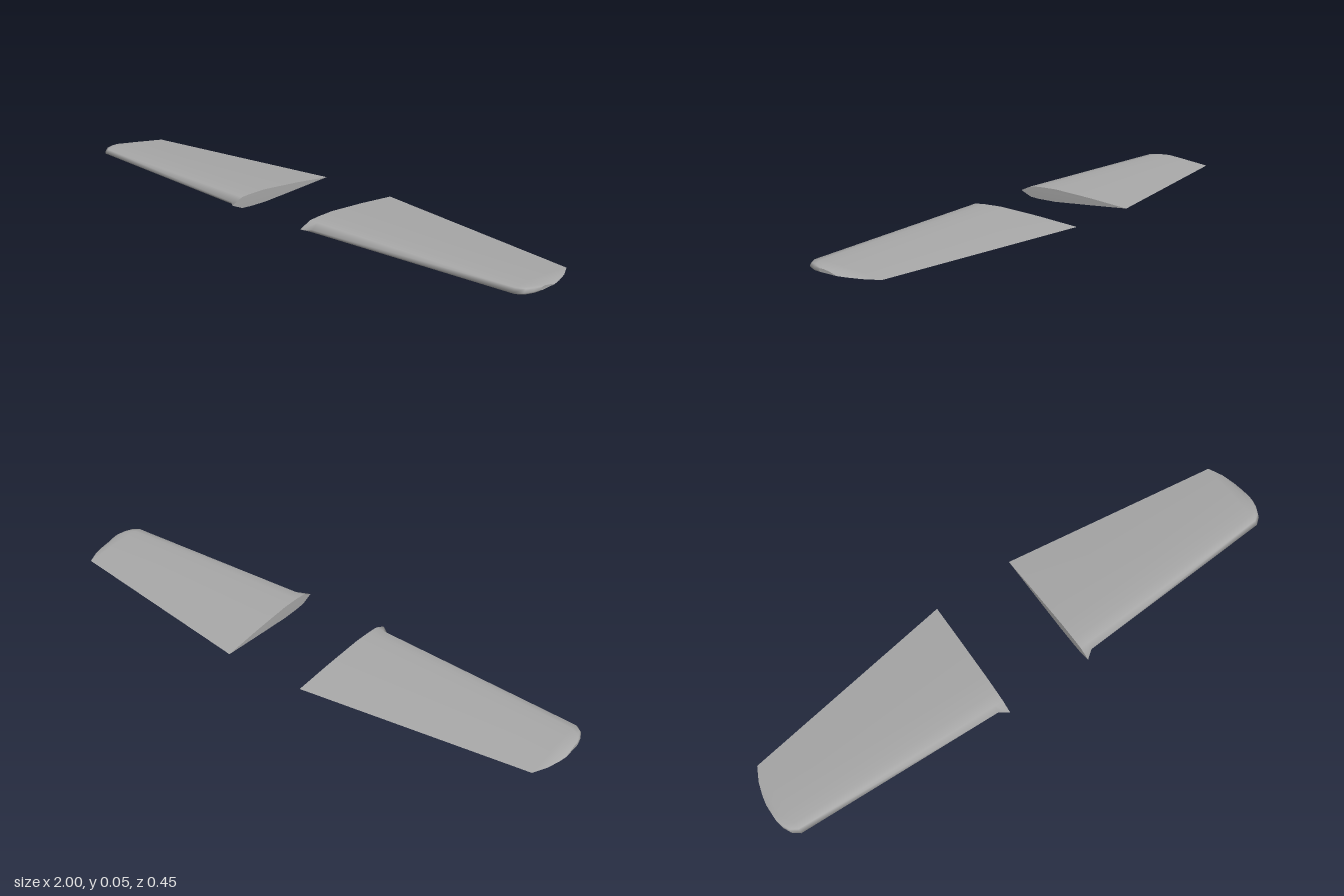
import * as THREE from 'three';

// Spanwise stations: x, leading z, trailing z, top y, bottom y, nose extension
const STATIONS = [
  [0.153, 0.205, -0.228, 0.047, 0.001, 0.022],
  [0.185, 0.203, -0.223, 0.0467, 0.0015, 0],
  [0.955, 0.167, -0.11, 0.039, 0.015, 0],
  [0.98, 0.147, -0.06, 0.0375, 0.017, 0],
  [0.994, 0.118, -0.012, 0.035, 0.019, 0],
  [1.0, 0.09, 0.02, 0.032, 0.021, 0],
];

// Aerofoil loop from trailing edge over the top to the nose and back underneath:
// chord fraction from the nose, height (1 = top, -1 = bottom)
const UPPER = [[1, 0], [0.65, 0.55], [0.3, 1], [0.14, 0.97], [0.05, 0.85]];
const PROFILE = [
  ...UPPER,
  [0, 0],
  ...UPPER.map(([t, h]) => [t, -h]).reverse(),
];

function sectionPoints([x, lead, trail, top, bottom, nose], side) {
  return PROFILE.map(([t, h]) => {
    const rootSkew = x < 0.2 ? 0.01 * (1 - t) : 0;
    const mid = 0.024 - 0.004 * t;
    const y = h >= 0 ? mid + (top - mid) * h : mid + (mid - bottom) * h;
    const z = lead + (trail - lead) * t + (t === 0 ? nose : 0);
    return [side * (x + rootSkew), y, z];
  });
}

function wingGeometry(side) {
  const positions = [];
  const index = [];
  const n = PROFILE.length;
  const tri = (a, b, c) => (side > 0 ? index.push(a, b, c) : index.push(a, c, b));
  const sections = STATIONS.map((s) => sectionPoints(s, side));

  // Smooth skin
  sections.forEach((pts) => pts.forEach((p) => positions.push(...p)));
  for (let i = 0; i < sections.length - 1; i++) {
    for (let j = 0; j < n - 1; j++) {
      const a = i * n + j;
      tri(a, a + 1, a + n);
      tri(a + n, a + 1, a + n + 1);
    }
  }

  // Flat root and tip caps with their own vertices
  const addCap = (pts, outward) => {
    const base = positions.length / 3;
    pts.forEach((p) => positions.push(...p));
    for (let j = 1; j < n - 2; j++) {
      if (outward) tri(base, base + j, base + j + 1);
      else tri(base, base + j + 1, base + j);
    }
  };
  addCap(sections[0], false);
  addCap(sections[sections.length - 1], true);

  const geometry = new THREE.BufferGeometry();
  geometry.setAttribute('position', new THREE.Float32BufferAttribute(positions, 3));
  geometry.setIndex(index);
  geometry.computeVertexNormals();
  return geometry;
}

export function createModel() {
  const group = new THREE.Group();
  group.name = 'wingPair';
  const wingGrey = new THREE.MeshStandardMaterial({ color: 0xa8a8a8 });
  wingGrey.name = 'wing grey';

  for (const [name, side] of [['leftWing', 1], ['rightWing', -1]]) {
    const wing = new THREE.Mesh(wingGeometry(side), wingGrey);
    wing.name = name;
    group.add(wing);
  }
  return group;
}
